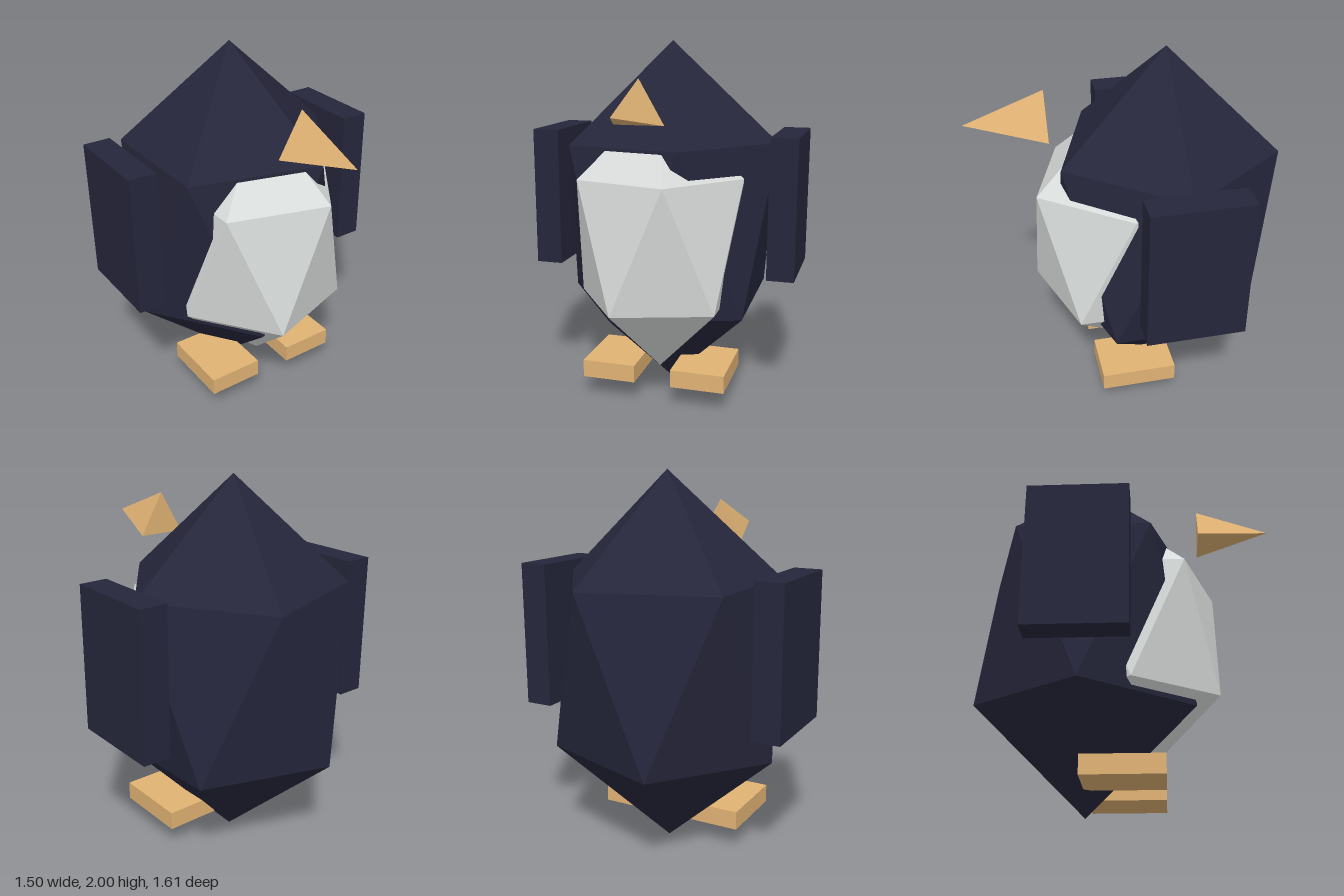
import * as THREE from 'three';

const navy = new THREE.MeshStandardMaterial({ color: 0x25263b });
navy.name = 'navy feathers';
const white = new THREE.MeshStandardMaterial({ color: 0xd8dcda });
white.name = 'white belly';
const orange = new THREE.MeshStandardMaterial({ color: 0xe0b274 });
orange.name = 'orange beak and feet';
for (const m of [navy, white, orange]) m.flatShading = true;

// Stretched twenty-sided solid: two poles and two staggered rings of five points
function gem({ top, bottom, upper, lower, rx, rz, z }) {
  const ring = (ys, start) => ys.map((y, k) => {
    const a = THREE.MathUtils.degToRad(start + 72 * k);
    return [rx * Math.cos(a), y, z + rz * Math.sin(a)];
  });
  const U = ring(upper, 0), L = ring(lower, 36);
  const T = [0, top, z], B = [0, bottom, z];
  const points = [];
  for (let k = 0; k < 5; k++) {
    const n = (k + 1) % 5;
    points.push(T, U[n], U[k], U[k], U[n], L[k], L[k], U[n], L[n], B, L[k], L[n]);
  }
  const geometry = new THREE.BufferGeometry();
  geometry.setAttribute('position', new THREE.Float32BufferAttribute(points.flat(), 3));
  geometry.computeVertexNormals();
  return geometry;
}

export function createModel() {
  const group = new THREE.Group();
  const add = (name, geometry, material, x = 0, y = 0, z = 0) => {
    const mesh = new THREE.Mesh(geometry, material);
    mesh.name = name;
    mesh.position.set(x, y, z);
    group.add(mesh);
  };

  // Body, with slightly uneven rings
  add('body', gem({
    top: 2, bottom: 0, rx: 0.605, rz: 0.605, z: -0.23,
    upper: [1.45, 1.46, 1.44, 1.44, 1.44],
    lower: [0.53, 0.53, 0.535, 0.55, 0.555],
  }), navy);

  // Belly, pushing out through the front of the body
  add('belly', gem({
    top: 1.72, bottom: 0.17, rx: 0.465, rz: 0.475, z: 0.02,
    upper: [1.285, 1.295, 1.285, 1.285, 1.285],
    lower: [0.6, 0.6, 0.59, 0.6, 0.6],
  }), white);

  // Three-sided beak, ridge upwards
  const beak = new THREE.ConeGeometry(0.153, 0.41, 3, 1, false, Math.PI);
  beak.rotateX(Math.PI / 2);
  add('beak', beak, orange, 0, 1.67, 0.595);

  // Wings and feet
  for (const [side, s] of [['left', 1], ['right', -1]]) {
    add(side + 'Wing', new THREE.BoxGeometry(0.15, 0.775, 0.515), navy, s * 0.673, 1.122, -0.233);
    add(side + 'Foot', new THREE.BoxGeometry(0.305, 0.1, 0.415), orange, s * 0.257, 0.168, -0.023);
  }
  return group;
}
